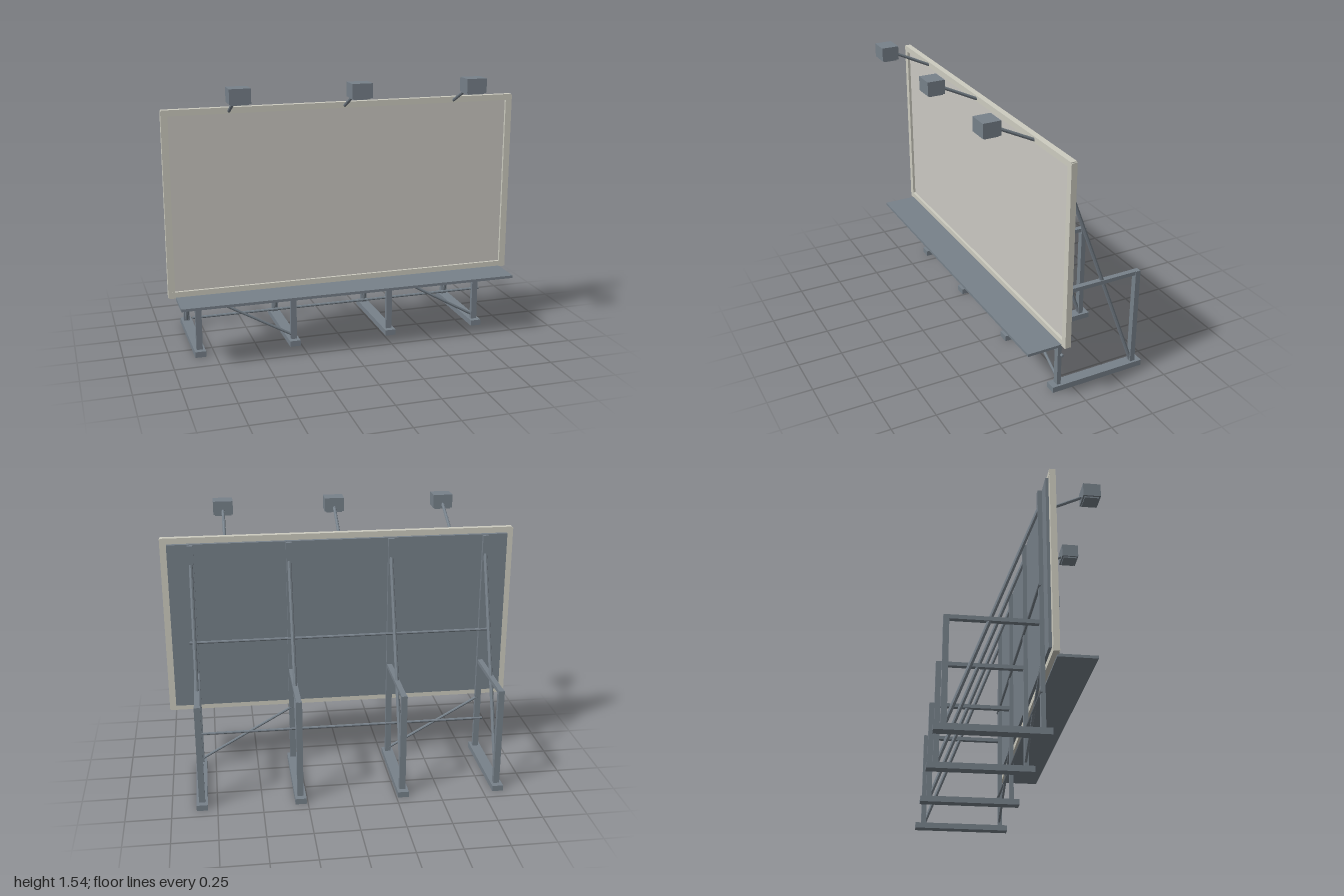
import * as THREE from 'three';

export function createModel() {
  const model = new THREE.Group();
  model.name = 'billboard';
  const material = (name, color) => {
    const m = new THREE.MeshStandardMaterial({ color, flatShading: true });
    m.name = name;
    return m;
  };
  const steel = material('steel grey', 0x77818a);
  const frameColor = material('frame cream', 0xcdccc0);
  const posterColor = material('poster off-white', 0xcbc9c3);

  // Box given by its extents on each axis
  const box = (name, mat, [x0, x1], [y0, y1], [z0, z1], parent = model) => {
    const mesh = new THREE.Mesh(new THREE.BoxGeometry(x1 - x0, y1 - y0, z1 - z0), mat);
    mesh.position.set((x0 + x1) / 2, (y0 + y1) / 2, (z0 + z1) / 2);
    mesh.name = name;
    parent.add(mesh);
  };
  // Round bar between two points
  const bar = (name, from, to, radius, parent = model) => {
    const a = new THREE.Vector3(...from), b = new THREE.Vector3(...to);
    const dir = b.clone().sub(a);
    const mesh = new THREE.Mesh(new THREE.CylinderGeometry(radius, radius, dir.length(), 8), steel);
    mesh.position.copy(a).add(b).multiplyScalar(0.5);
    mesh.quaternion.setFromUnitVectors(new THREE.Vector3(0, 1, 0), dir.normalize());
    mesh.name = name;
    parent.add(mesh);
  };

  // Display board: backing, recessed poster face and border frame
  box('backPanel', steel, [-0.963, 0.963], [0.4, 1.365], [0.09, 0.115]);
  box('posterFace', posterColor, [-0.963, 0.963], [0.4, 1.368], [0.115, 0.123]);
  box('frameTop', frameColor, [-0.995, 0.995], [1.367, 1.4], [0.105, 0.138]);
  box('frameBottom', frameColor, [-0.995, 0.995], [0.367, 0.402], [0.105, 0.138]);
  for (const s of [-1, 1]) {
    box('frameSide', frameColor, s < 0 ? [-1, -0.963] : [0.963, 1], [0.37, 1.395], [0.1055, 0.1375]);
  }

  // Service walkway in front of the board
  box('walkway', steel, [-0.96, 0.96], [0.357, 0.372], [0.13, 0.33]);

  // Four support trestles
  for (const x of [-0.834, -0.289, 0.289, 0.834]) {
    const trestle = new THREE.Group();
    trestle.name = 'trestle';
    const w = [x - 0.017, x + 0.017];
    box('foot', steel, [x - 0.031, x + 0.031], [0, 0.033], [-0.439, 0.122], trestle);
    box('frontPost', steel, w, [0.033, 1.362], [0.067, 0.0905], trestle);
    box('backPost', steel, w, [0.033, 0.604], [-0.405, -0.376], trestle);
    box('tieBeam', steel, [x - 0.0145, x + 0.0145], [0.583, 0.605], [-0.404, 0.068], trestle);
    bar('diagonalBrace', [x, 1.255, 0.072], [x, 0.04, -0.385], 0.011, trestle);
    model.add(trestle);
  }

  // Long rails and cross braces joining the trestles
  for (const y of [0.219, 0.795]) bar('rail', [-0.866, y, 0.069], [0.866, y, 0.069], 0.008);
  for (const x of [-0.834, 0.289]) bar('crossBrace', [x, 0.362, 0.074], [x + 0.545, 0.052, 0.074], 0.008);

  // Overhead floodlights
  for (const x of [-0.64, 0, 0.64]) {
    const light = new THREE.Group();
    light.name = 'floodlight';
    bar('lampArm', [x, 1.377, 0.128], [x, 1.495, 0.37], 0.009, light);
    box('lampHousing', steel, [x - 0.056, x + 0.056], [1.463, 1.54], [0.346, 0.443], light);
    box('lampLens', steel, [x - 0.046, x + 0.046], [1.455, 1.464], [0.355, 0.433], light);
    model.add(light);
  }
  return model;
}
